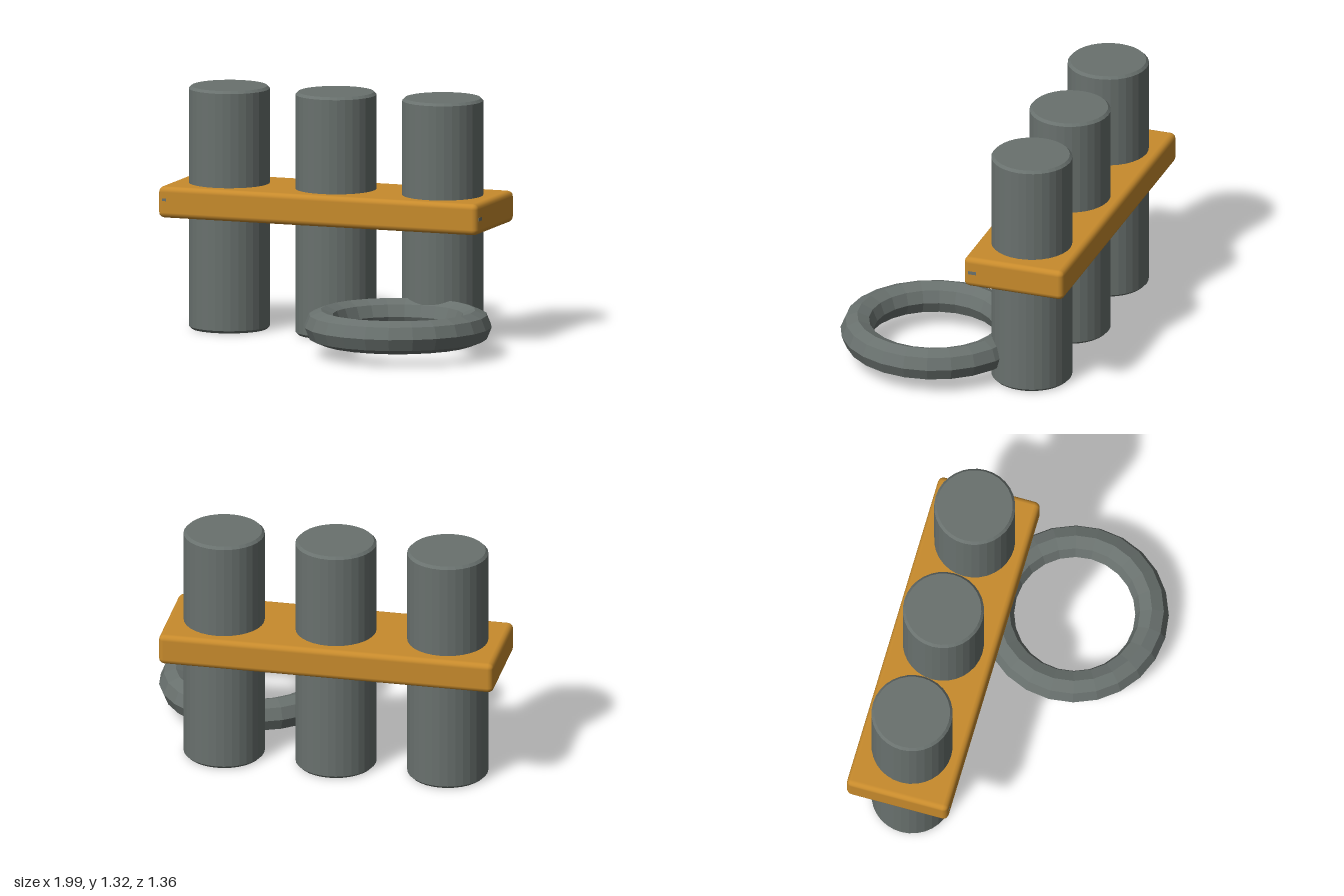
import * as THREE from 'three';
import { RoundedBoxGeometry } from 'three/addons/geometries/RoundedBoxGeometry.js';

const steel = new THREE.MeshStandardMaterial({ color: 0x69716e });
steel.name = 'greySteel';
const amber = new THREE.MeshStandardMaterial({ color: 0xc88b2c });
amber.name = 'amberOrange';

// Faceted normals
function faceted(geometry) {
  const g = geometry.index ? geometry.toNonIndexed() : geometry;
  g.computeVertexNormals();
  return g;
}

export function createModel() {
  const model = new THREE.Group();
  model.name = 'rodHolderWithRing';

  function add(name, geometry, material, x, y, z) {
    const mesh = new THREE.Mesh(geometry, material);
    mesh.name = name;
    mesh.position.set(x, y, z);
    model.add(mesh);
    return mesh;
  }

  // Three upright rods with slightly bevelled ends
  const r = 0.218, h = 1.315, b = 0.014;
  const profile = [[0, 0], [r - b, 0], [r, b], [r, h - b], [r - b, h], [0, h]]
    .map(([x, y]) => new THREE.Vector2(x, y));
  const rod = faceted(new THREE.LatheGeometry(profile, 32));
  [-0.695, -0.083, 0.53].forEach((x, i) => add('rod' + (i + 1), rod, steel, x, 0, -0.397));

  // Crossbar joining the rods, with rounded edges
  add('crossbar', new RoundedBoxGeometry(1.833, 0.17, 0.566, 2, 0.03), amber, -0.083, 0.705, -0.397);

  // Small grey marks at two ends of the crossbar
  add('endMark', new THREE.BoxGeometry(0.004, 0.018, 0.045), steel, 0.833, 0.706, -0.165);
  add('frontMark', new THREE.BoxGeometry(0.022, 0.014, 0.004), steel, -0.962, 0.72, -0.114);

  // Loose ring lying flat, eight-sided in section
  const ring = new THREE.TorusGeometry(0.415, 0.09, 8, 24);
  ring.rotateX(Math.PI / 2);
  add('ring', faceted(ring), steel, 0.49, 0.155, 0.172);

  return model;
}
